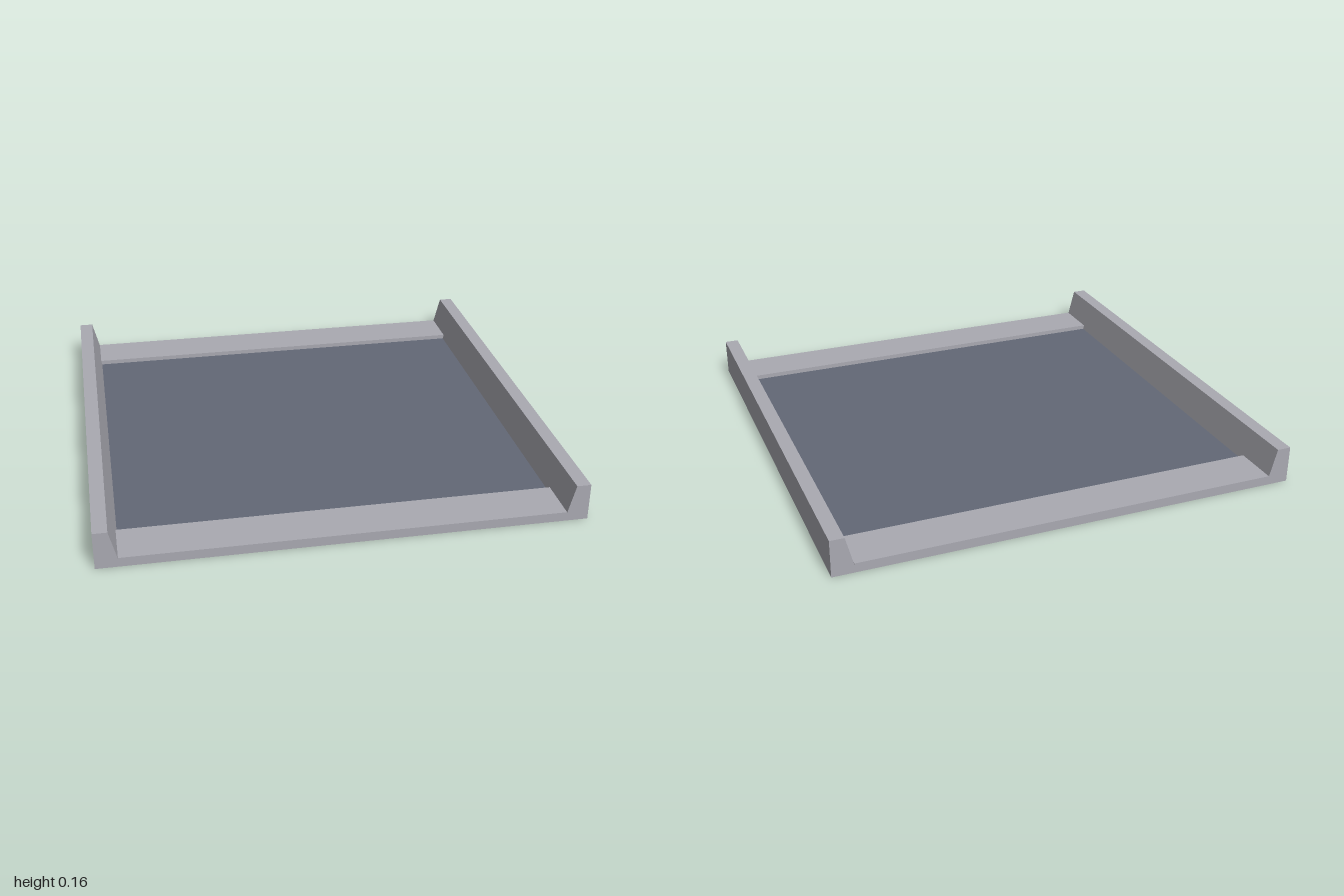
import * as THREE from 'three';

export function createModel() {
  const grey = new THREE.MeshStandardMaterial({ color: 0xaaaab2 });
  grey.name = 'concrete grey';
  const slate = new THREE.MeshStandardMaterial({ color: 0x626876 });
  slate.name = 'slate blue';

  const group = new THREE.Group();
  group.name = 'channelTile';

  const add = (name, geometry, material, x = 0, y = 0, z = 0) => {
    const mesh = new THREE.Mesh(geometry, material);
    mesh.name = name;
    mesh.position.set(x, y, z);
    group.add(mesh);
  };

  const floorY = 0.02;  // recessed floor
  const deckY = 0.04;   // raised end strips
  const wallY = 0.16;   // side walls
  const plate = 0.005;
  const innerX = 0.905; // foot of the walls at floor level

  // Base slab and the coloured floor lying on it
  add('baseSlab', new THREE.BoxGeometry(innerX * 2, floorY - plate, 2), grey, 0, (floorY - plate) / 2, 0);
  add('recessedFloor', new THREE.BoxGeometry(innerX * 2, plate, 1.6), slate, 0, floorY - plate / 2, 0);

  // Raised strips at the front and back
  const stripH = deckY - floorY + plate;
  for (const [name, side] of [['frontStrip', 1], ['backStrip', -1]]) {
    add(name, new THREE.BoxGeometry(innerX * 2 + 0.008, stripH, 0.2), grey, 0, deckY - stripH / 2, side * 0.9);
  }

  // Side walls with a sloping inner face
  for (const [name, side] of [['leftWall', 1], ['rightWall', -1]]) {
    const profile = new THREE.Shape([
      [innerX, 0], [1, 0], [1, wallY], [0.94, wallY], [innerX, floorY],
    ].map(([x, y]) => new THREE.Vector2(side * x, y)));
    const wall = new THREE.ExtrudeGeometry(profile, { depth: 2, bevelEnabled: false });
    add(name, wall, grey, 0, 0, -1);
  }

  return group;
}
